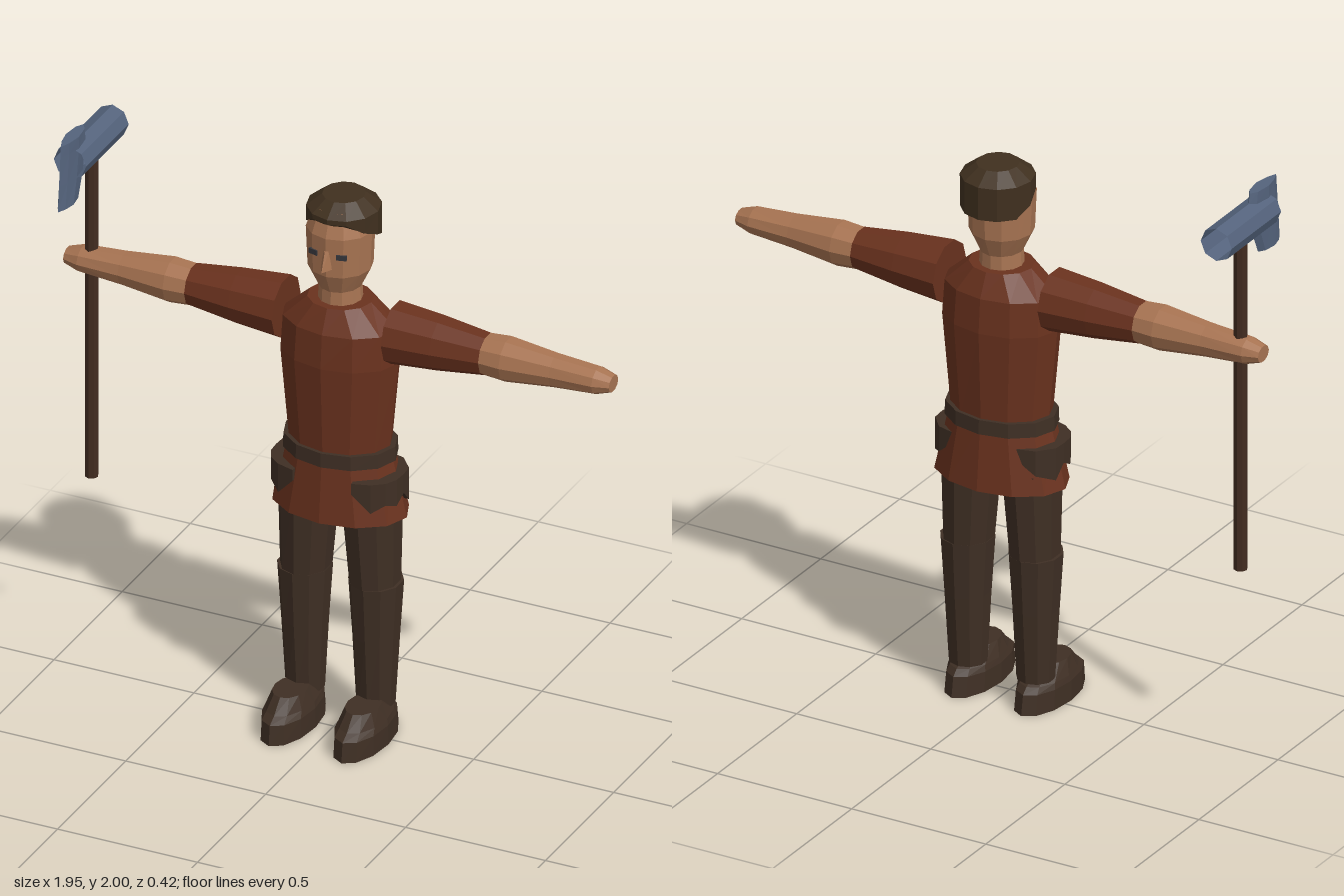
import * as THREE from 'three';

const mat = (name, color, double) => {
  const m = new THREE.MeshStandardMaterial({ color, flatShading: true });
  m.name = name;
  if (double) m.side = THREE.DoubleSide;
  return m;
};

// Builds a faceted solid from rings of points, bottom to top
function skin(rings, caps = true) {
  const n = rings[0].length, pos = rings.flat(2), idx = [];
  for (let r = 0; r < rings.length - 1; r++)
    for (let i = 0; i < n; i++) {
      const a = r * n + i, b = r * n + (i + 1) % n;
      idx.push(a, b, b + n, a, b + n, a + n);
    }
  if (caps) {
    const top = (rings.length - 1) * n;
    for (let i = 1; i < n - 1; i++) idx.push(0, i + 1, i, top, top + i, top + i + 1);
  }
  const g = new THREE.BufferGeometry();
  g.setAttribute('position', new THREE.Float32BufferAttribute(pos, 3));
  g.setIndex(idx);
  const flat = g.toNonIndexed();
  flat.computeVertexNormals();
  return flat;
}

// Rows are [y, radiusX, radiusZ, centreX, centreZ]; y may depend on the angle
function loft(rows, n = 12, caps = true) {
  return skin(rows.map(([y, rx, rz, cx = 0, cz = 0]) =>
    Array.from({ length: n }, (_, i) => {
      const a = (i / n) * Math.PI * 2;
      return [cx + rx * Math.sin(a), typeof y === 'function' ? y(a) : y, cz + rz * Math.cos(a)];
    })), caps);
}

export function createModel() {
  const root = new THREE.Group();
  root.name = 'axeman';
  const tunic = mat('russet cloth', 0x6a321e);
  const flesh = mat('skin', 0xa87452);
  const leather = mat('dark leather', 0x3f2f24, true);
  const hairMat = mat('hair', 0x40301f);
  const wood = mat('wood', 0x422c20);
  const steel = mat('steel', 0x54637c, true);
  const eyeMat = mat('eye', 0x35363c);
  const add = (name, geo, material, parent = root) => {
    const m = new THREE.Mesh(geo, material);
    m.name = name;
    parent.add(m);
    return m;
  };
  const Z = -0.05;

  // Tunic and belt
  add('torso', loft([
    [1.03, 0.175, 0.133, 0, Z], [1.36, 0.207, 0.148, 0, Z],
    [1.48, 0.2, 0.138, 0, Z], [1.56, 0.11, 0.1, 0, Z]]), tunic);
  add('skirt', loft([[0.8, 0.237, 0.16, 0, Z], [1.03, 0.18, 0.138, 0, Z]]), tunic);
  add('belt', loft([[1.0, 0.197, 0.148, 0, Z], [1.05, 0.195, 0.146, 0, Z]]), leather);

  // Head
  add('neck', loft([[1.53, 0.075, 0.075, 0, Z], [1.64, 0.068, 0.07, 0, Z]]), flesh);
  add('head', loft([
    [1.61, 0.072, 0.078, 0, Z], [1.68, 0.106, 0.108, 0, Z],
    [1.82, 0.113, 0.11, 0, Z], [1.9, 0.085, 0.08, 0, Z]]), flesh);
  add('nose', loft([[1.71, 0.02, 0.036, 0, 0.055], [1.775, 0.01, 0.012, 0, 0.055]], 4), flesh);
  const hairline = a => {
    const c = Math.cos(a);
    return c > 0.8 ? 1.868 : c > 0.3 ? 1.83 : c > -0.1 ? 1.8 : 1.77;
  };
  add('hair', loft([
    [hairline, 0.121, 0.125, 0, -0.075], [1.885, 0.122, 0.125, 0, -0.075],
    [1.925, 0.07, 0.073, 0, -0.075]]), hairMat);

  for (const s of [1, -1]) {
    const side = s > 0 ? 'left' : 'right';
    const eye = add(side + 'Eye', new THREE.BoxGeometry(0.034, 0.018, 0.008), eyeMat);
    eye.position.set(s * 0.05, 1.757, 0.047);
    eye.rotation.y = s * 0.25;

    // Arms are lofted upright, then laid out sideways
    const arm = (name, rows, material) => {
      const g = loft(rows.map(([x, r, rz = r]) => [x, r, rz]), 10);
      g.rotateZ(-s * Math.PI / 2);
      add(side + name, g, material).position.set(0, 1.472, Z);
    };
    arm('Sleeve', [[0.195, 0.106], [0.36, 0.092], [0.525, 0.071]], tunic);
    arm('Forearm', [[0.52, 0.07], [0.6, 0.076], [0.77, 0.057], [0.92, 0.046, 0.051], [0.975, 0.028, 0.035]], flesh);

    // Legs and boots
    add(side + 'Thigh', loft([
      [0.54, 0.083, 0.094, s * 0.123, Z], [0.86, 0.1, 0.115, s * 0.112, Z]], 10), leather);
    add(side + 'Shin', loft([
      [0.1, 0.064, 0.064, s * 0.126, Z], [0.35, 0.077, 0.083, s * 0.127, Z],
      [0.55, 0.09, 0.096, s * 0.127, Z]], 10), leather);
    add(side + 'Boot', loft([
      [0, 0.081, 0.18, s * 0.13, 0.031], [0.07, 0.08, 0.17, s * 0.13, 0.033],
      [0.09, 0.074, 0.144, s * 0.13, 0.028], [0.137, 0.055, 0.078, s * 0.13, 0.05]]), leather);

    // Hip pouch with a jagged lower edge: [x, z, bottom y]
    const outline = [
      [0.1, 0.05, 0.92], [0.105, 0.088, 0.92], [0.165, 0.07, 0.855], [0.205, 0.04, 0.88],
      [0.225, 0, 0.865], [0.228, -0.045, 0.89], [0.225, -0.09, 0.845], [0.18, -0.143, 0.87],
      [0.12, -0.16, 0.92], [0.1, -0.1, 0.92]];
    if (s < 0) outline.reverse();
    add(side + 'Pouch', skin([
      outline.map(([x, z, y]) => [s * x, y, z]),
      outline.map(([x, z]) => [s * x, 0.96, z])]), leather);
  }

  // Axe in the right hand
  const axe = new THREE.Group();
  axe.name = 'axe';
  axe.position.x = -0.89;
  root.add(axe);
  add('shaft', loft([[0.68, 0.023, 0.023, 0, Z], [1.88, 0.023, 0.023, 0, Z]], 8), wood, axe);
  const socket = new THREE.CylinderGeometry(0.058, 0.058, 0.312, 8, 1, true).toNonIndexed();
  socket.rotateX(Math.PI / 2);
  socket.computeVertexNormals();
  add('axeSocket', socket, steel, axe).position.set(0, 1.908, -0.048);
  // Blade: lens-shaped sections that slant forward towards the bottom
  const lens = [[0, 1], [0.6, 0.8], [1, 0.5], [0.7, 0.15], [0, 0], [-0.7, 0.15], [-1, 0.5], [-0.6, 0.8]];
  const section = (y, back, front) => lens.map(([x, t]) => [x * 0.023, y, back + (front - back) * t]);
  add('axeBlade', skin([
    section(1.77, 0.06, 0.197), section(1.86, 0.02, 0.189),
    section(1.96, 0, 0.179), section(2.0, 0.008, 0.175)]), steel, axe);

  return root;
}
